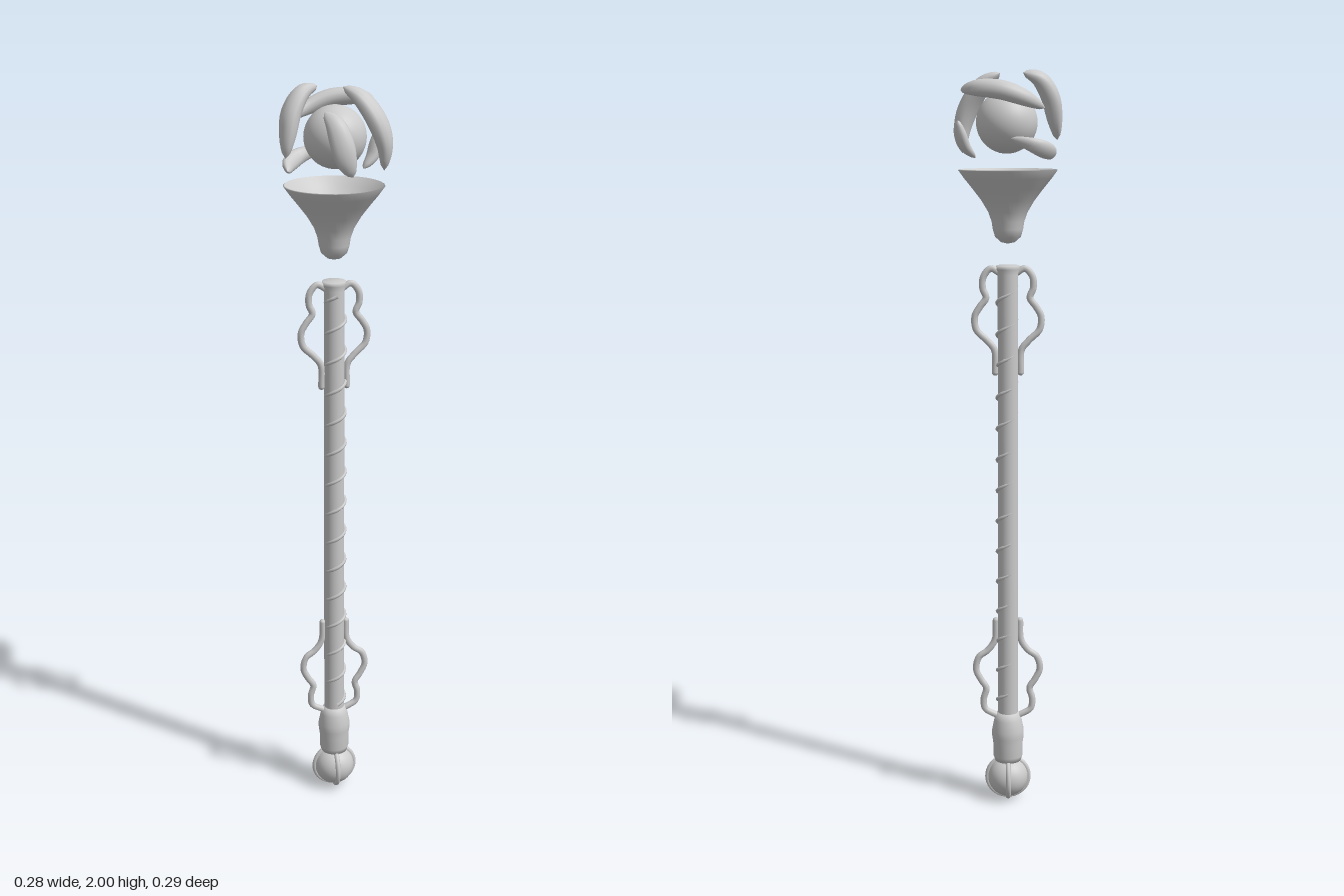
import * as THREE from 'three';

const material = new THREE.MeshStandardMaterial({ color: 0xcccccc });
const thin = new THREE.MeshStandardMaterial({ color: 0xcccccc, side: THREE.DoubleSide });
const ORB = new THREE.Vector3(0.003, 1.865, -0.003);

function add(group, name, geometry, mat = material) {
  const mesh = new THREE.Mesh(geometry, mat);
  mesh.name = name;
  group.add(mesh);
  return mesh;
}

function lathe(profile, segments = 32) {
  return new THREE.LatheGeometry(profile.map(([r, y]) => new THREE.Vector2(r, y)), segments);
}

function curveThrough(points) {
  return new THREE.CatmullRomCurve3(points.map(p => new THREE.Vector3(...p)));
}

// Tapered elliptical sweep along a path, its flat side turned towards the orb
function clawGeometry(points, width, thickness) {
  const curve = curveThrough(points);
  const rings = 18, sides = 12;
  const positions = [], indices = [];
  for (let i = 0; i <= rings; i++) {
    const t = i / rings;
    const centre = curve.getPoint(t);
    const tangent = curve.getTangent(t);
    const out = centre.clone().sub(ORB);
    out.addScaledVector(tangent, -out.dot(tangent)).normalize();
    const across = new THREE.Vector3().crossVectors(tangent, out);
    const swell = Math.pow(Math.sin(Math.PI * t), 0.55);
    for (let j = 0; j < sides; j++) {
      const a = (j / sides) * Math.PI * 2;
      const p = centre.clone()
        .addScaledVector(out, Math.cos(a) * swell * thickness / 2)
        .addScaledVector(across, Math.sin(a) * swell * width / 2);
      positions.push(p.x, p.y, p.z);
      if (i < rings) {
        const k = i * sides + j, n = i * sides + (j + 1) % sides;
        indices.push(k, k + sides, n, n, k + sides, n + sides);
      }
    }
  }
  const geometry = new THREE.BufferGeometry();
  geometry.setAttribute('position', new THREE.Float32BufferAttribute(positions, 3));
  geometry.setIndex(indices);
  geometry.computeVertexNormals();
  return geometry;
}

export function createModel() {
  const model = new THREE.Group();
  model.name = 'staff';

  // Pommel ball with crossed ribs
  const pommel = new THREE.Group();
  pommel.name = 'pommel';
  pommel.position.y = 0.066;
  add(pommel, 'pommelBall', new THREE.SphereGeometry(0.056, 28, 18));
  for (const turn of [0, Math.PI / 2]) {
    add(pommel, 'pommelRib', new THREE.TorusGeometry(0.057, 0.007, 8, 40)).rotation.y = turn;
  }
  model.add(pommel);

  // Collar above the pommel
  add(model, 'collar', lathe([
    [0, 0.11], [0.036, 0.115], [0.041, 0.13], [0.041, 0.165], [0.044, 0.185],
    [0.044, 0.205], [0.038, 0.235], [0.03, 0.255], [0, 0.26],
  ]));

  // Shaft with a slightly flared top
  add(model, 'shaft', lathe([
    [0, 0.2], [0.028, 0.2], [0.027, 1.47], [0.031, 1.485], [0.031, 1.495], [0, 1.495],
  ], 24));

  // Cord winding around the shaft, sitting proud on the front right side
  const cord = [], pitch = 0.085, turns = 14;
  for (let i = 0; i <= turns * 12; i++) {
    const a = (i / 12) * Math.PI * 2;
    cord.push([0.003 + Math.sin(a) * 0.026, 0.27 + (i / 12) * pitch, 0.002 + Math.cos(a) * 0.026]);
  }
  add(model, 'cord', new THREE.TubeGeometry(curveThrough(cord), turns * 20, 0.005, 6));

  // Wavy side handles, mirrored left and right
  const upper = [
    [0.022, 1.475, 0], [0.045, 1.487, 0], [0.065, 1.465, 0], [0.067, 1.435, 0], [0.058, 1.41, 0],
    [0.075, 1.385, 0], [0.088, 1.36, 0], [0.084, 1.325, 0], [0.055, 1.295, 0], [0.036, 1.27, 0],
    [0.034, 1.21, 0],
  ];
  const lower = [
    [0.033, 0.52, 0], [0.036, 0.465, 0], [0.055, 0.435, 0], [0.08, 0.415, 0], [0.088, 0.38, 0],
    [0.075, 0.35, 0], [0.06, 0.325, 0], [0.067, 0.295, 0], [0.063, 0.265, 0], [0.03, 0.245, 0],
  ];
  for (const [name, path] of [['upperHandle', upper], ['lowerHandle', lower]]) {
    for (const side of [1, -1]) {
      const points = path.map(([x, y, z]) => [x * side, y, z]);
      const handle = new THREE.Group();
      handle.name = name;
      add(handle, 'handleBar', new THREE.TubeGeometry(curveThrough(points), 60, 0.009, 8));
      for (const end of [points[0], points[points.length - 1]]) {
        add(handle, 'handleEnd', new THREE.SphereGeometry(0.009, 8, 6)).position.set(...end);
      }
      model.add(handle);
    }
  }

  // Floating funnel cup, outer wall then hollow inside
  add(model, 'cup', lathe([
    [0, 1.552], [0.018, 1.556], [0.034, 1.57], [0.04, 1.59], [0.043, 1.61], [0.052, 1.635],
    [0.07, 1.665], [0.093, 1.695], [0.115, 1.722], [0.13, 1.743], [0.127, 1.745],
    [0.108, 1.722], [0.085, 1.7], [0.05, 1.672], [0, 1.655],
  ], 40), thin);

  // Orb
  add(model, 'orb', new THREE.SphereGeometry(0.08, 32, 22)).position.copy(ORB);

  // Curved claws floating around the orb
  const claws = [
    ['leftSideClaw', 0.07, 0.05,
      [[0.02, 1.99, 0.01], [0.06, 1.965, 0.03], [0.098, 1.91, 0.05], [0.118, 1.85, 0.055], [0.118, 1.785, 0.05]]],
    ['rightSideClaw', 0.065, 0.05,
      [[-0.038, 1.99, -0.025], [-0.08, 1.975, -0.01], [-0.11, 1.93, 0.005], [-0.122, 1.875, 0.018], [-0.13, 1.82, 0.03]]],
    ['backClaw', 0.05, 0.045,
      [[0.122, 1.945, -0.07], [0.085, 1.95, -0.108], [0.02, 1.945, -0.126], [-0.04, 1.925, -0.122], [-0.092, 1.9, -0.095]]],
    ['frontClaw', 0.06, 0.035,
      [[-0.042, 1.94, 0.085], [-0.02, 1.91, 0.11], [-0.005, 1.86, 0.125], [0.005, 1.82, 0.13], [0.02, 1.785, 0.13]]],
    ['lowBackLeftClaw', 0.045, 0.03,
      [[0.13, 1.87, -0.08], [0.125, 1.84, -0.066], [0.113, 1.805, -0.055], [0.085, 1.775, -0.04]]],
    ['lowBackRightClaw', 0.045, 0.03,
      [[-0.118, 1.78, -0.01], [-0.105, 1.79, -0.06], [-0.07, 1.805, -0.095], [-0.005, 1.825, -0.095]]],
  ];
  for (const [name, width, thickness, points] of claws) {
    add(model, name, clawGeometry(points, width, thickness), thin);
  }

  return model;
}
